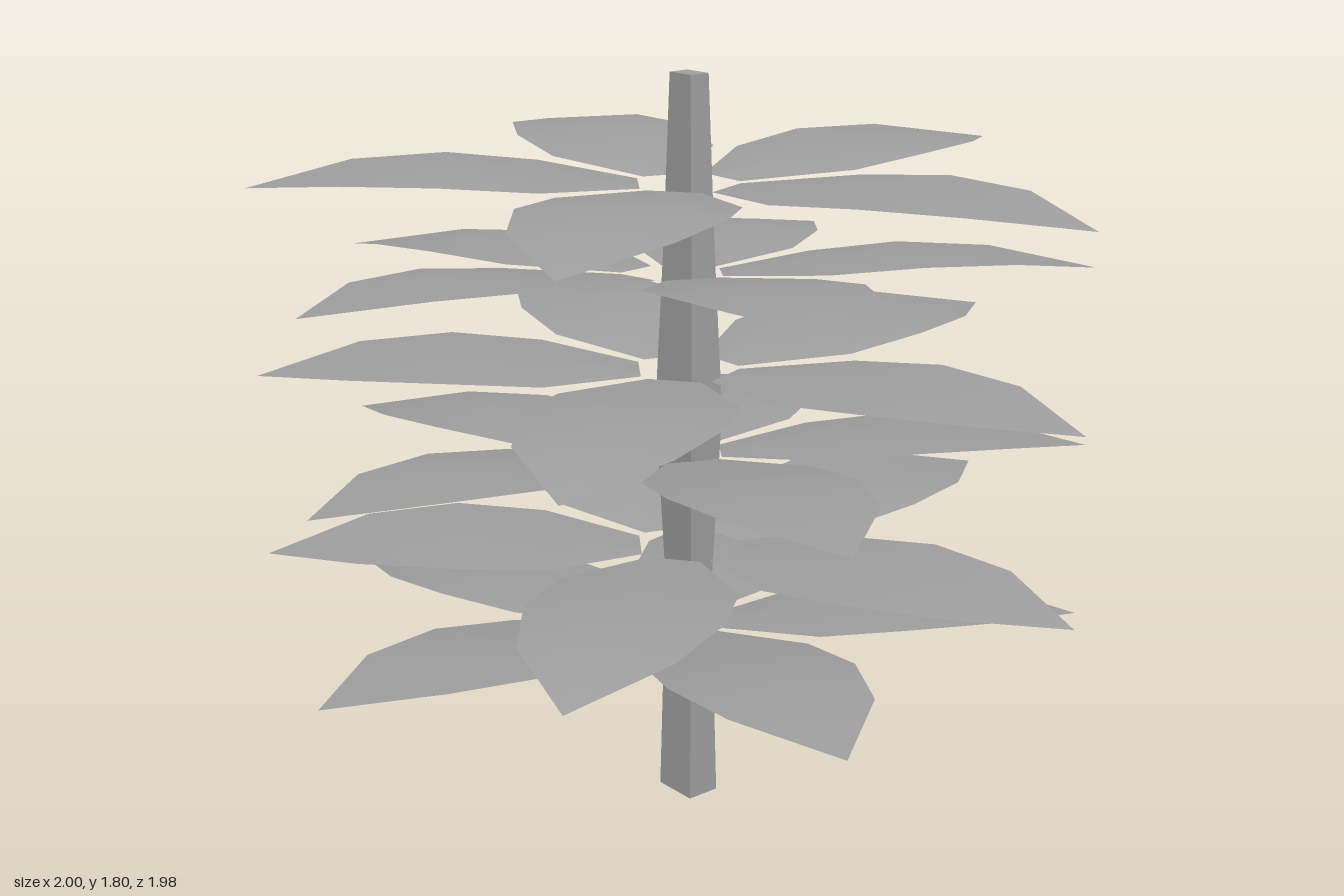
import * as THREE from 'three';

const leafMaterial = new THREE.MeshStandardMaterial({ color: 0xa0a0a0, side: THREE.DoubleSide });
const stemMaterial = new THREE.MeshStandardMaterial({ color: 0xa0a0a0, flatShading: true });

// Leaf pointing along +x: rows of [distance, half width, midrib height, edge height], then a tip
function leafGeometry() {
  const rows = [[0.11, 0.064, 0, 0], [0.34, 0.21, 0.035, 0.02], [0.56, 0.229, 0.055, 0.038], [0.78, 0.173, 0.036, 0.034]];
  const positions = [];
  const index = [];
  rows.forEach(([s, w, mid, edge], i) => {
    positions.push(s, edge, -w, s, mid, 0, s, edge, w);
    for (let side = 0; side < 2; side++) {
      const a = i * 3 + side;
      if (i < rows.length - 1) index.push(a, a + 1, a + 4, a, a + 4, a + 3);
      else index.push(a, a + 1, rows.length * 3);
    }
  });
  positions.push(1.008, 0, 0);
  const geometry = new THREE.BufferGeometry();
  geometry.setAttribute('position', new THREE.Float32BufferAttribute(positions, 3));
  geometry.setIndex(index);
  geometry.computeVertexNormals();
  return geometry;
}

// Ring of five leaves around the stem
function leafRing(name, geometry, startDegrees) {
  const ring = new THREE.Group();
  ring.name = name;
  for (let i = 0; i < 5; i++) {
    const leaf = new THREE.Mesh(geometry, leafMaterial);
    leaf.name = 'leaf';
    leaf.rotation.y = -THREE.MathUtils.degToRad(startDegrees + i * 72);
    ring.add(leaf);
  }
  return ring;
}

// Square stem, pinched and swollen along its height
function stemMesh() {
  const levels = [[0, 0.043, 0.059], [0.55, 0.033, 0.048], [1.0, 0.048, 0.067], [1.4, 0.035, 0.051], [1.8, 0.027, 0.037]];
  const geometry = new THREE.BoxGeometry(2, 4, 2, 1, 4, 1);
  const p = geometry.attributes.position;
  for (let i = 0; i < p.count; i++) {
    const [y, halfX, halfZ] = levels[Math.round(p.getY(i) + 2)];
    p.setXYZ(i, p.getX(i) * halfX + 0.002, y, p.getZ(i) * halfZ + 0.027);
  }
  geometry.computeVertexNormals();
  const stem = new THREE.Mesh(geometry, stemMaterial);
  stem.name = 'stem';
  return stem;
}

export function createModel() {
  const model = new THREE.Group();
  model.name = 'plant';
  model.add(stemMesh());

  const leaf = leafGeometry();
  for (let tier = 0; tier < 3; tier++) {
    const lift = tier * 0.445;

    // Tilted ring, turned half a step from the level one
    const tilted = leafRing('tiltedLeafRing', leaf, 36.9);
    tilted.position.set(0.006, 0.432 + lift, -0.029);
    tilted.rotation.set(-0.068, 0, -0.05);
    model.add(tilted);

    // Level ring above it
    const level = leafRing('levelLeafRing', leaf, 0);
    level.position.set(-0.008, 0.657 + lift, 0.028);
    model.add(level);
  }
  return model;
}
